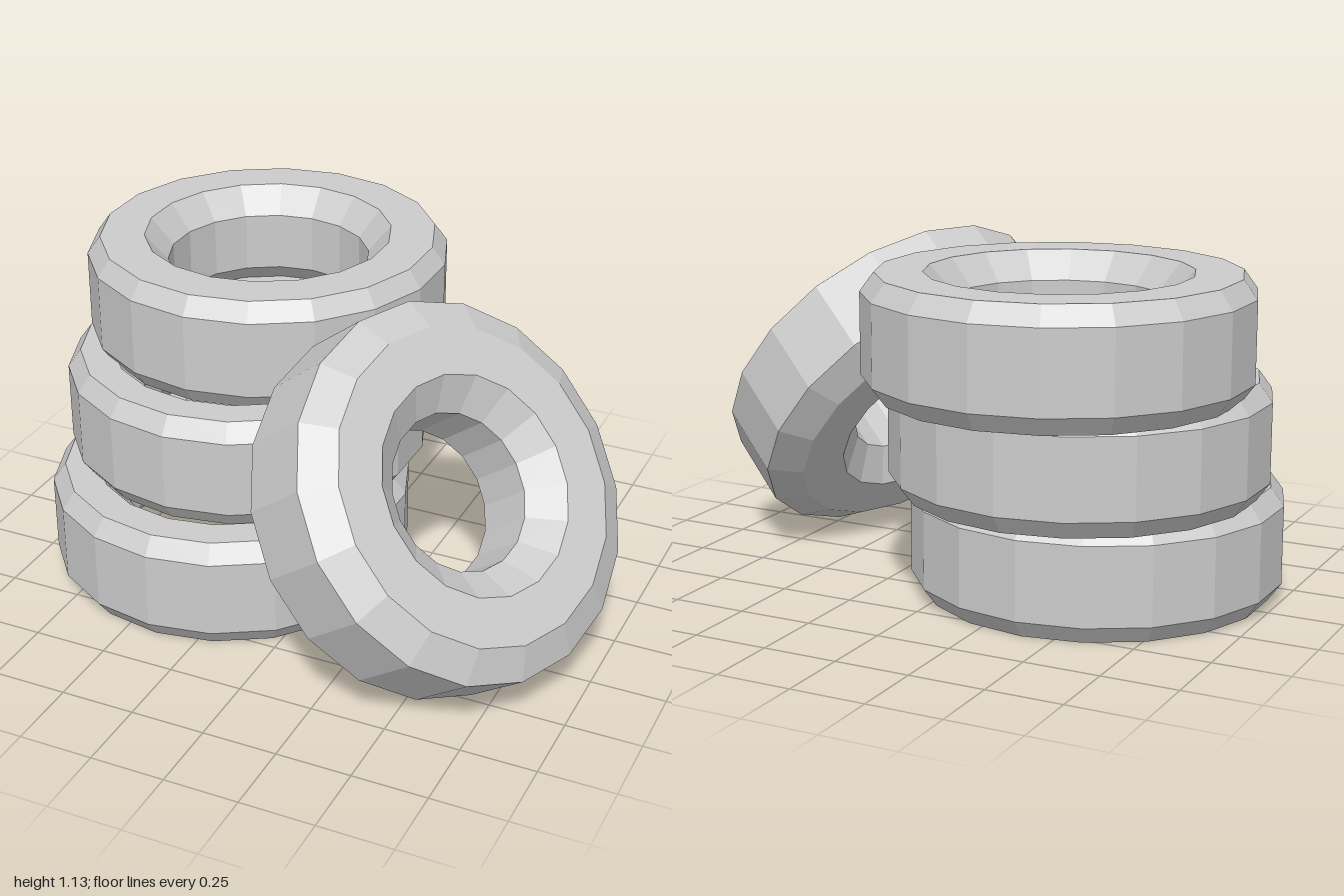
import * as THREE from 'three';

const SIDES = 18;
const material = new THREE.MeshStandardMaterial({ color: 0xcccccc, flatShading: true });

// Closed ring: tread, bevelled shoulders, flat sidewalls, and a hole with sloping rims.
// tread/face/rim/hole are radii; halfHeight and treadHalf are measured from the mid-plane.
function createTire(name, { tread = 0.614, face = 0.57, rim, hole, halfHeight = 0.19, treadHalf = 0.13, rimDepth = 0.09 }) {
  const wall = halfHeight - rimDepth;
  const upper = [[tread, treadHalf], [face, halfHeight], [rim, halfHeight], [hole, wall]];
  const lower = upper.map(([r, y]) => [r, -y]).reverse();
  const profile = [...upper, ...lower, upper[0]].map(([r, y]) => new THREE.Vector2(r, y));
  const mesh = new THREE.Mesh(new THREE.LatheGeometry(profile, SIDES), material);
  mesh.name = name;
  return mesh;
}

export function createModel() {
  const group = new THREE.Group();
  group.name = 'tirePile';

  // Stack, each tire set further back than the one below
  const stack = [
    { name: 'bottomTire', y: 0.19, z: 0.017, rim: 0.457, hole: 0.375 },
    { name: 'middleTire', y: 0.561, z: -0.126, rim: 0.46, hole: 0.378 },
    { name: 'topTire', y: 0.911, z: -0.292, rim: 0.42, hole: 0.343 },
  ];
  for (const { name, y, z, rim, hole } of stack) {
    const tire = createTire(name, { rim, hole });
    tire.position.set(-0.395, y, z);
    group.add(tire);
  }

  // Tire leaning against the stack, with wider shoulders and a smaller hole
  const leaning = createTire('leaningTire', {
    face: 0.51, rim: 0.355, hole: 0.255, halfHeight: 0.2, treadHalf: 0.135, rimDepth: 0.094,
  });
  const axis = new THREE.Vector3(0.73, 0.61, 0.31).normalize();
  leaning.quaternion.setFromUnitVectors(new THREE.Vector3(0, 1, 0), axis);
  leaning.rotateY(-0.05);
  leaning.position.set(0.48, 0.565, 0.28);
  group.add(leaning);

  return group;
}
